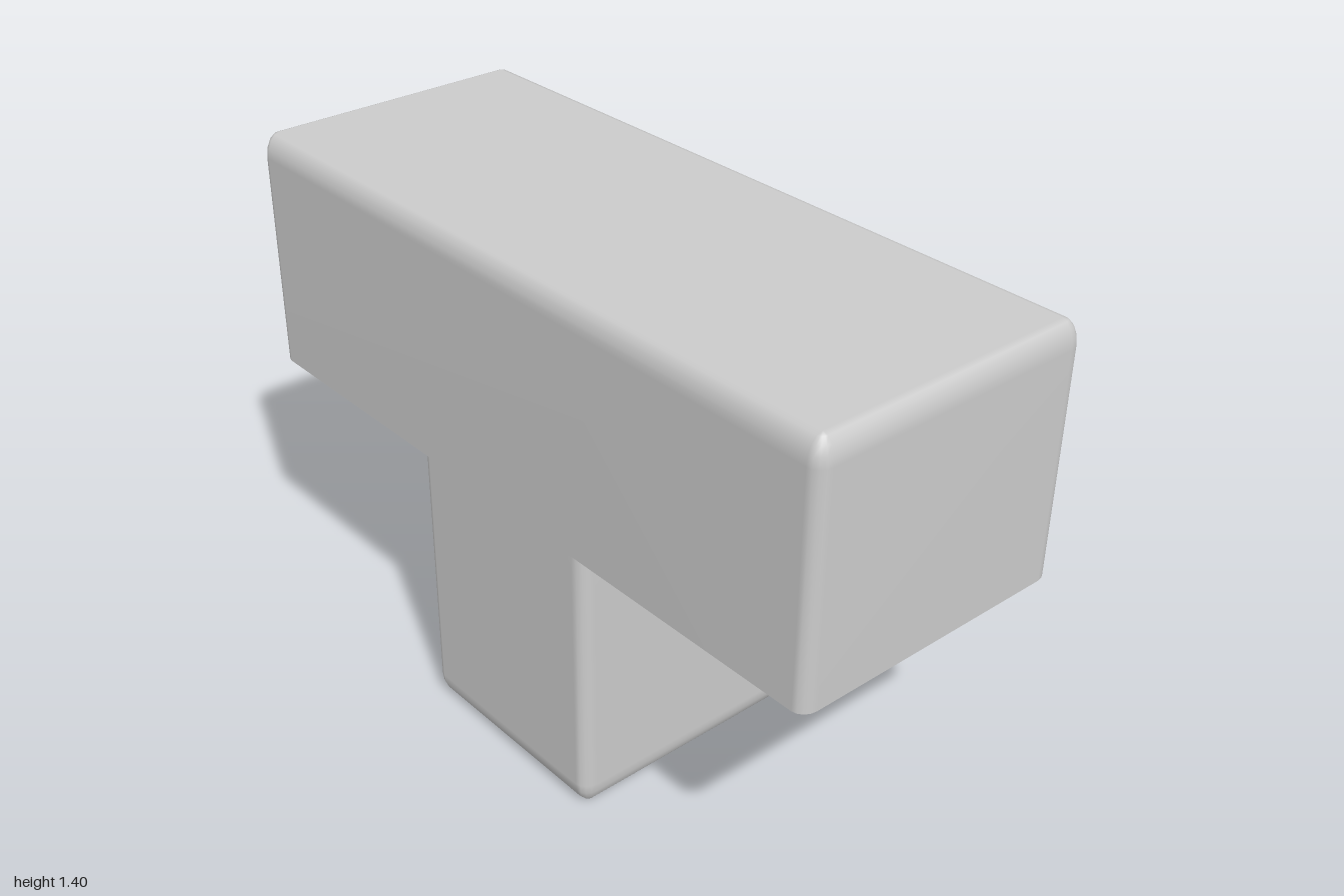
import * as THREE from 'three';

const STEPS = 4; // facets per rounded corner

// Block standing on y = 0 with a sharp base and softened upright and top edges.
function softBlock(hx, h, hz, [rx, ry, rz], closeBase) {
  const pos = [], index = [], n = 4 * (STEPS + 1);
  const addRing = (y, c) => {
    for (let k = 0; k < 4; k++) {
      const sx = k === 0 || k === 3 ? 1 : -1, sz = k < 2 ? 1 : -1;
      for (let s = 0; s <= STEPS; s++) {
        const a = (k + s / STEPS) * Math.PI / 2;
        pos.push(sx * (hx - rx) + rx * c * Math.cos(a), y, sz * (hz - rz) + rz * c * Math.sin(a));
      }
    }
  };

  // Base ring, then rings following the rounded top edge
  addRing(0, 1);
  for (let j = 0; j <= STEPS; j++) {
    const t = j / STEPS * Math.PI / 2;
    addRing(h - ry + ry * Math.sin(t), j === STEPS ? 0 : Math.cos(t));
  }

  // The last ring shrinks to four corners, so each corner shares one vertex
  const last = STEPS + 1;
  const id = (r, i) => {
    i %= n;
    return r * n + (r === last ? i - i % (STEPS + 1) : i);
  };
  for (let r = 0; r < last; r++) {
    for (let i = 0; i < n; i++) {
      const a = id(r, i), b = id(r, i + 1), c = id(r + 1, i), d = id(r + 1, i + 1);
      index.push(a, c, b);
      if (c !== d) index.push(b, c, d);
    }
  }
  const [p, q, u, v] = [0, 1, 2, 3].map(k => id(last, k * (STEPS + 1)));
  index.push(p, u, q, p, v, u);

  // Flat base with its own vertices keeps the lower edge sharp
  if (closeBase) {
    const start = pos.length / 3;
    addRing(0, 1);
    for (let i = 1; i < n - 1; i++) index.push(start, start + i, start + i + 1);
  }

  const geo = new THREE.BufferGeometry();
  geo.setAttribute('position', new THREE.Float32BufferAttribute(pos, 3));
  geo.setIndex(index);
  geo.computeVertexNormals();
  return geo;
}

export function createModel() {
  const group = new THREE.Group();
  const material = new THREE.MeshStandardMaterial({ color: 0xcccccc, side: THREE.DoubleSide });
  const joint = 0.755;

  // Long horizontal bar
  const bar = new THREE.Mesh(softBlock(0.39, 0.65, 1, [0.04, 0.065, 0.035], true), material);
  bar.name = 'crossbar';
  bar.position.y = joint;
  group.add(bar);

  // Stem hanging below the bar, its rounded end turned down
  const stem = new THREE.Mesh(softBlock(0.39, joint, 0.317, [0.04, 0.065, 0.035], false), material);
  stem.name = 'stem';
  stem.rotation.x = Math.PI;
  stem.position.set(0, joint, -0.032);
  group.add(stem);

  return group;
}
